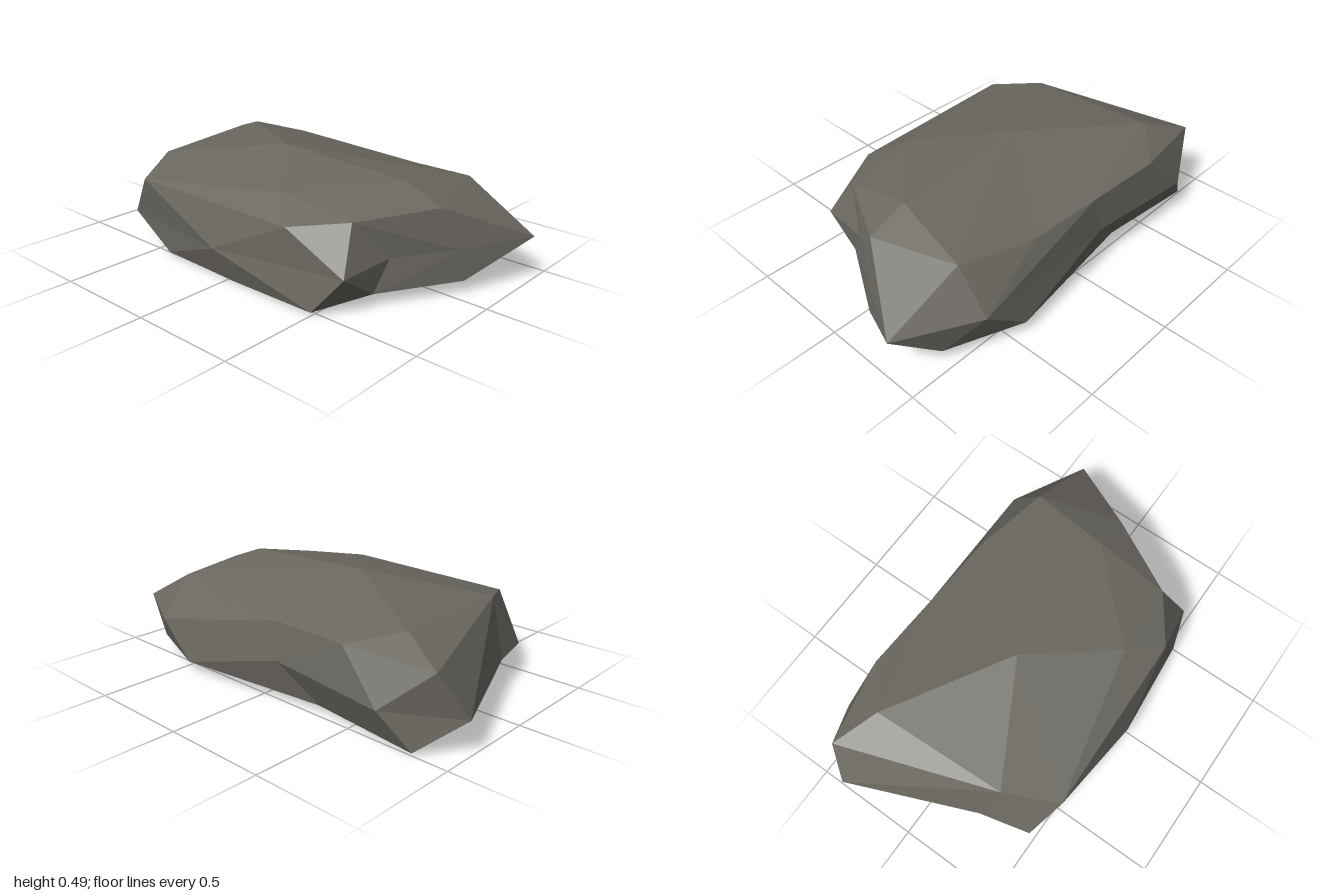
import * as THREE from 'three';

// Horizontal loops of the rock, each running front -> left (+x) -> back -> right
const base = [
  [0.05, 0.01, 0.53], [0.5, 0.015, 0.53], [0.64, 0.06, 0.3], [0.85, 0.06, -0.06],
  [0.79, 0.06, -0.45], [0.43, 0.055, -0.585], [-0.31, 0.03, -0.47], [-0.83, 0.01, -0.5],
  [-0.79, 0.01, -0.25], [-0.65, 0.015, 0.2], [-0.4, 0.015, 0.52],
];
const girth = [
  [-0.03, 0.16, 0.58], [0.63, 0.18, 0.48], [0.66, 0.2, 0.22], [0.83, 0.2, -0.05],
  [1, 0.21, -0.37], [0.64, 0.21, -0.56], [-0.12, 0.2, -0.535], [-0.7, 0.17, -0.565],
  [-1, 0.155, -0.36], [-0.75, 0.145, 0.24], [-0.69, 0.14, 0.48],
];
const shoulder = [
  [-0.09, 0.35, 0.53], [0.35, 0.345, 0.52], [0.57, 0.375, 0.36], [0.76, 0.385, 0],
  [0.64, 0.4, -0.4], [0.28, 0.365, -0.49], [-0.1, 0.37, -0.507], [-0.49, 0.375, -0.525],
  [-0.9, 0.35, -0.45], [-0.65, 0.41, 0.3], [-0.53, 0.355, 0.54],
];

// Few points on the crown; several columns share one
const peak = [-0.12, 0.49, 0.01];
const front = [0.2, 0.42, 0.38];
const left = [0.57, 0.46, 0];
const right = [-0.68, 0.43, -0.35];
const crown = [front, front, left, left, left, peak, peak, right, right, right, peak];
const underside = [-0.05, 0, -0.05];

function rockGeometry() {
  const loops = [base, girth, shoulder, crown]
    .map((loop) => loop.map((p) => new THREE.Vector3(...p)));
  const top = new THREE.Vector3(...peak);
  const bottom = new THREE.Vector3(...underside);
  const positions = [];

  // Adds a triangle unless shared points collapse it
  const tri = (a, b, c) => {
    const area = b.clone().sub(a).cross(c.clone().sub(a)).length();
    if (area > 1e-6) for (const p of [a, b, c]) positions.push(p.x, p.y, p.z);
  };

  // Splits a quad along the diagonal that bulges outward
  const quad = (a, b, c, d) => {
    const n = b.clone().sub(a).cross(c.clone().sub(a));
    if (d.clone().sub(a).dot(n) > 0) {
      tri(a, b, d);
      tri(b, c, d);
    } else {
      tri(a, b, c);
      tri(a, c, d);
    }
  };

  const count = base.length;
  for (let i = 0; i < count; i++) {
    const j = (i + 1) % count;
    for (let k = 0; k < loops.length - 1; k++) {
      quad(loops[k][i], loops[k][j], loops[k + 1][j], loops[k + 1][i]);
    }
    tri(bottom, loops[0][j], loops[0][i]);
    tri(loops[3][i], loops[3][j], top);
  }

  const geometry = new THREE.BufferGeometry();
  geometry.setAttribute('position', new THREE.Float32BufferAttribute(positions, 3));
  geometry.computeVertexNormals();
  return geometry;
}

export function createModel() {
  const stone = new THREE.MeshStandardMaterial({ color: 0x6b6861 });
  stone.name = 'stone grey';
  stone.flatShading = true;

  const rock = new THREE.Mesh(rockGeometry(), stone);
  rock.name = 'rock';

  const group = new THREE.Group();
  group.name = 'flatRock';
  group.add(rock);
  return group;
}
